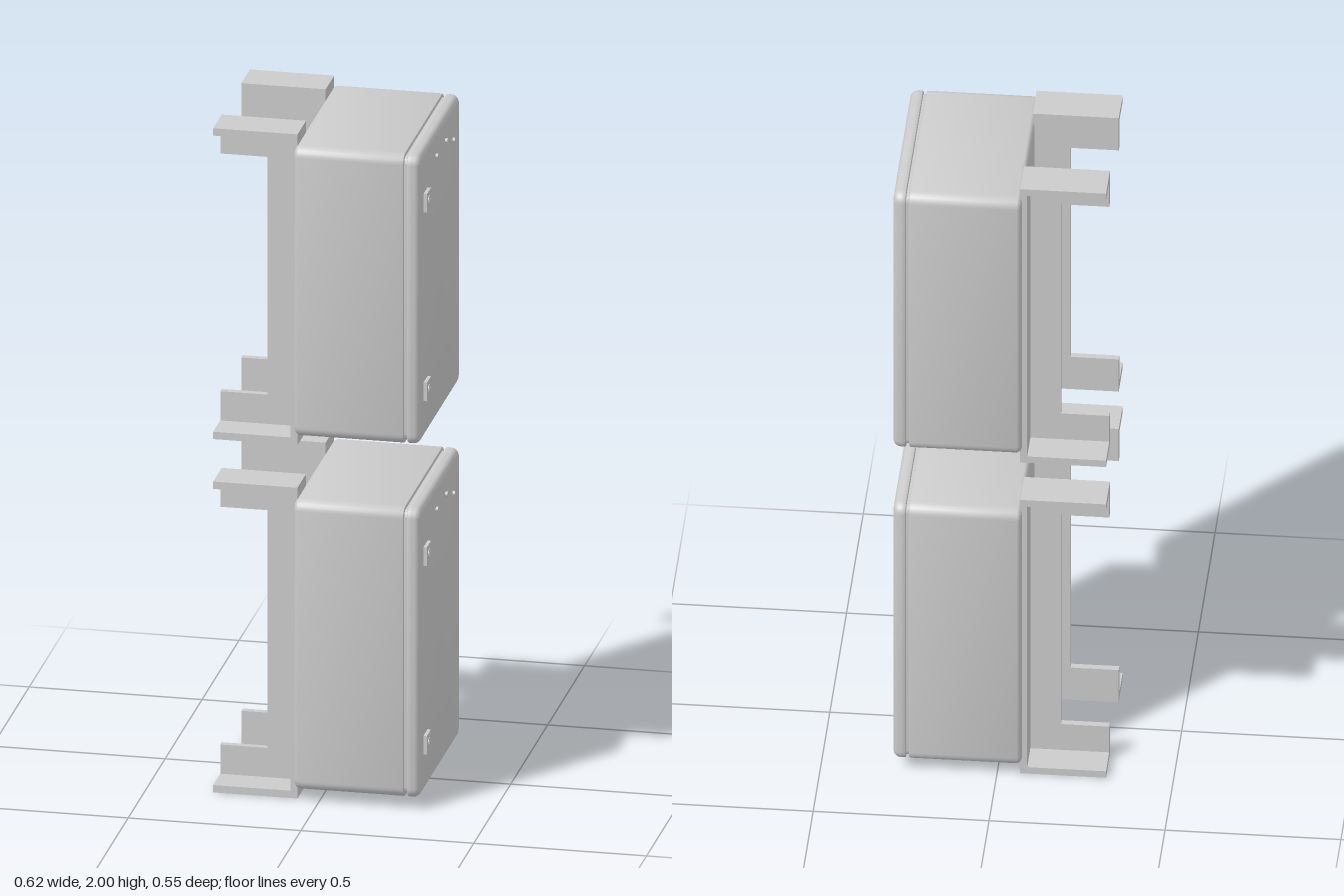
import * as THREE from 'three';
import { toCreasedNormals } from 'three/addons/utils/BufferGeometryUtils.js';

const MAT = new THREE.MeshStandardMaterial({ color: 0xcccccc });
const HALF_H = 0.436, HALF_D = 0.277, CORNER = 0.03, MID_Y = 0.471;
const UNIT_STEP = 1.064;

function add(parent, geometry, name, x = 0, y = 0, z = 0) {
  const mesh = new THREE.Mesh(geometry, MAT);
  mesh.name = name;
  mesh.position.set(x, y, z);
  parent.add(mesh);
  return mesh;
}

// Rounded rectangle in the y/z plane, shrunk by inset
function ring(x, inset) {
  const r = Math.max(CORNER - inset, 0.004), steps = 6, pts = [];
  const cy = HALF_H - inset - r, cz = HALF_D - inset - r;
  [[1, 1], [-1, 1], [-1, -1], [1, -1]].forEach(([sy, sz], q) => {
    for (let i = 0; i <= steps; i++) {
      const a = (q + i / steps) * Math.PI / 2;
      pts.push([x, sy * cy + r * Math.cos(a), sz * cz + r * Math.sin(a)]);
    }
  });
  return pts;
}

// Loft along x through [x, inset] pairs, capped at both ends
function loft(profile) {
  const pos = [], index = [], n = 28, last = profile.length - 1;
  profile.forEach(([x, inset]) => ring(x, inset).forEach(p => pos.push(...p)));
  for (let k = 0; k < last; k++) {
    for (let i = 0; i < n; i++) {
      const a = k * n + i, b = k * n + (i + 1) % n;
      index.push(a, b, b + n, a, b + n, a + n);
    }
  }
  const c0 = pos.length / 3;
  pos.push(profile[0][0], 0, 0, profile[last][0], 0, 0);
  for (let i = 0; i < n; i++) {
    const j = (i + 1) % n;
    index.push(c0, j, i, c0 + 1, last * n + i, last * n + j);
  }
  const g = new THREE.BufferGeometry();
  g.setAttribute('position', new THREE.Float32BufferAttribute(pos, 3));
  g.setIndex(index);
  return toCreasedNormals(g, 0.6);
}

// Quarter-round edge profile; dir -1 starts at the low-x face, +1 ends at the high-x face
function fillet(x, r, dir) {
  const pts = [];
  for (let i = 0; i <= 5; i++) {
    const a = i / 5 * Math.PI / 2;
    pts.push([x - dir * r * (1 - Math.sin(a)), r * (1 - Math.cos(a))]);
  }
  return dir > 0 ? pts : pts.reverse();
}

// C-shaped plate in x/y, extruded along z
function cPlate(armDepth, spineDepth, width) {
  const x0 = -0.309, x1 = -0.065, h = 0.936;
  const s = new THREE.Shape([
    [x0, 0], [x1, 0], [x1, h], [x0, h], [x0, h - armDepth],
    [x1 - spineDepth, h - armDepth], [x1 - spineDepth, armDepth], [x0, armDepth],
  ].map(([x, y]) => new THREE.Vector2(x, y)));
  return new THREE.ExtrudeGeometry(s, { depth: width, bevelEnabled: false });
}

// Angle-section bracket: wide thin flange plus a deep flange on the inner side
function bracket(parent, name, z0, z1, innerZ) {
  const g = new THREE.Group();
  g.name = name;
  add(g, cPlate(0.022, 0.02, z1 - z0), 'wideFlange', 0, 0, z0);
  add(g, cPlate(0.11, 0.107, 0.02), 'deepFlange', 0, 0, innerZ);
  parent.add(g);
}

function cabinet(name) {
  const unit = new THREE.Group();
  unit.name = name;

  // Housing, recessed seal and door
  add(unit, loft([...fillet(-0.07, 0.018, -1), ...fillet(0.249, 0.004, 1)]), 'housing', 0, MID_Y);
  add(unit, loft([[0.24, 0.01], [0.265, 0.01]]), 'doorSeal', 0, MID_Y);
  add(unit, loft([...fillet(0.258, 0.005, -1), ...fillet(0.295, 0.022, 1)]), 'door', 0, MID_Y);

  // Rear mounting brackets
  bracket(unit, 'frontBracket', 0.127, 0.243, 0.127);
  bracket(unit, 'backBracket', -0.254, -0.138, -0.158);

  // Door locks: square plate with a round key cylinder and slot
  for (const y of [0.181, 0.749]) {
    const lock = new THREE.Group();
    lock.name = 'doorLock';
    lock.position.set(0, y, 0.194);
    add(lock, new THREE.BoxGeometry(0.013, 0.056, 0.056), 'lockPlate', 0.2985);
    add(lock, new THREE.CylinderGeometry(0.014, 0.014, 0.01, 20), 'keyCylinder', 0.302).rotation.z = Math.PI / 2;
    add(lock, new THREE.BoxGeometry(0.004, 0.006, 0.018), 'keySlot', 0.306);
    unit.add(lock);
  }

  // Indicator lamps
  for (const [y, z] of [[0.831, 0.051], [0.831, -0.077], [0.798, -0.176]]) {
    add(unit, new THREE.CylinderGeometry(0.007, 0.007, 0.012, 16), 'indicatorLamp', 0.296, y, z).rotation.z = Math.PI / 2;
  }
  return unit;
}

export function createModel() {
  const model = new THREE.Group();
  model.name = 'stackedCabinets';
  ['lowerCabinet', 'upperCabinet'].forEach((name, i) => {
    const unit = cabinet(name);
    unit.position.y = i * UNIT_STEP;
    model.add(unit);
  });
  return model;
}
